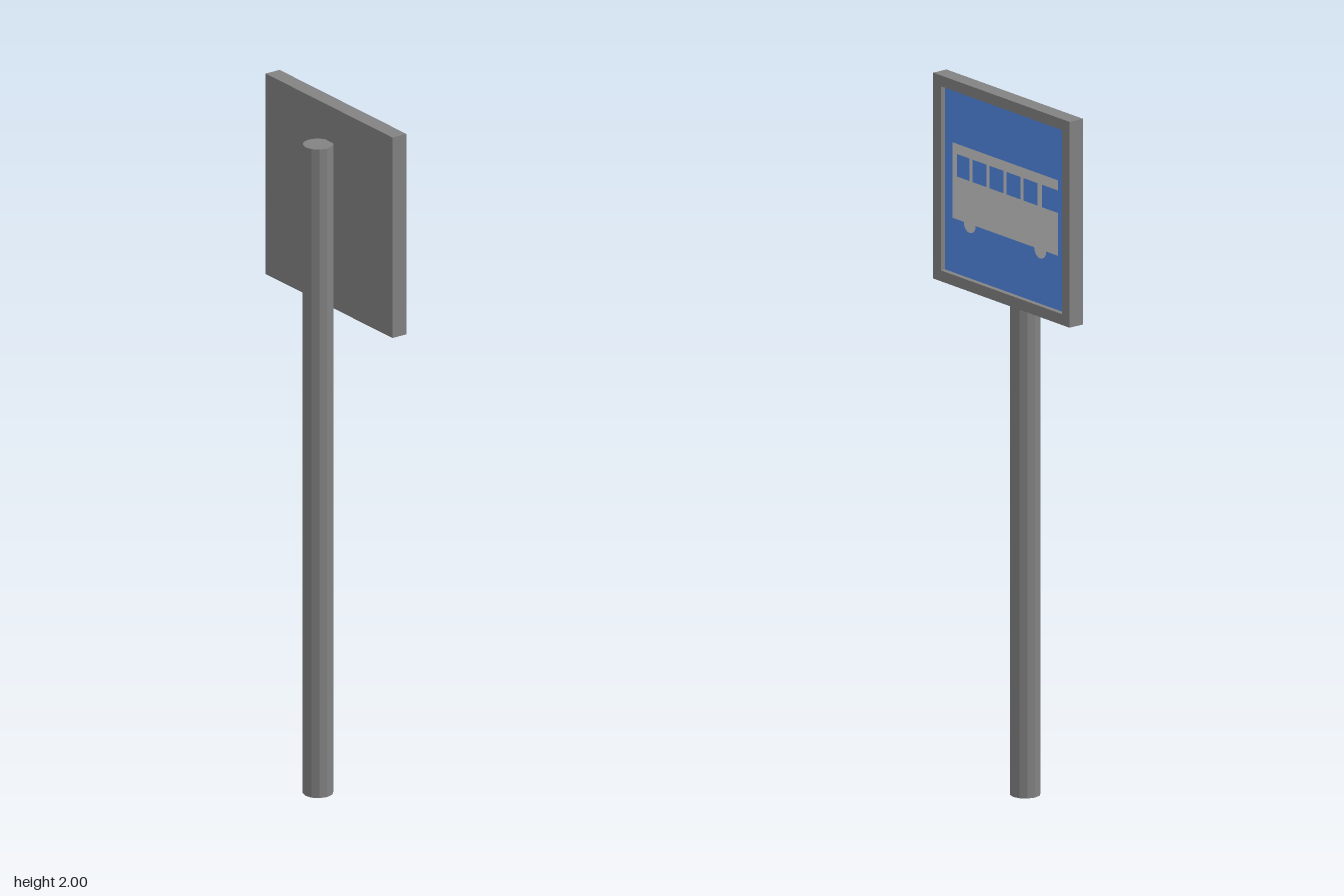
import * as THREE from 'three';

const SIGN_Y = 1.707, OUTER = 0.295, INNER = 0.262;
const BACK = 0.016, FRONT = 0.063, PANEL = 0.048;

const material = (color) => new THREE.MeshStandardMaterial({ color, flatShading: true });

function rect(Type, x0, y0, x1, y1) {
  return new Type([[x0, y0], [x1, y0], [x1, y1], [x0, y1]].map(([x, y]) => new THREE.Vector2(x, y)));
}

export function createModel() {
  const group = new THREE.Group();
  const metal = material(0x828282);
  const blue = material(0x528ae8);
  const pale = material(0xcccccc);

  const add = (parent, name, geometry, mat, x, y, z) => {
    const mesh = new THREE.Mesh(geometry, mat);
    mesh.name = name;
    mesh.position.set(x, y, z);
    parent.add(mesh);
    return mesh;
  };

  // Twelve-sided pole behind the sign
  add(group, 'pole', new THREE.CylinderGeometry(0.042, 0.042, 1.896, 12), metal, -0.021, 0.948, 0);

  // Sign is drawn facing +z, then turned to face +x
  const sign = new THREE.Group();
  sign.name = 'sign';
  sign.rotation.y = Math.PI / 2;
  sign.position.y = SIGN_Y;
  group.add(sign);

  // Raised square frame
  const frame = rect(THREE.Shape, -OUTER, -0.293, OUTER, 0.293);
  frame.holes.push(rect(THREE.Path, -INNER, -INNER, INNER, INNER));
  add(sign, 'signFrame', new THREE.ExtrudeGeometry(frame, { depth: FRONT - BACK, bevelEnabled: false }), metal, 0, 0, BACK);

  // Back cover and recessed blue face
  const plane = new THREE.PlaneGeometry(INNER * 2, INNER * 2);
  add(sign, 'signBack', plane, metal, 0, 0, BACK).rotation.y = Math.PI;
  add(sign, 'signPanel', plane, blue, 0, 0, PANEL);

  // Bus silhouette: open notch at the windscreen, five side windows
  const sill = 0.015, head = 0.079;
  const bus = new THREE.Shape([
    [-0.228, -0.107], [0.228, -0.107], [0.228, sill], [0.159, sill],
    [0.159, head], [0.228, head], [0.228, 0.108], [-0.228, 0.108],
  ].map(([x, y]) => new THREE.Vector2(x, y)));
  for (let i = 0; i < 5; i++) {
    const left = -0.209 + i * 0.0735;
    const start = i === 0 ? left : left - 0.006;
    bus.holes.push(rect(THREE.Path, start, sill, left + 0.0545, head));
  }
  add(sign, 'busSymbol', new THREE.ShapeGeometry(bus), pale, 0, 0, PANEL + 0.001);

  // Half-round wheels under the bus
  for (const x of [-0.154, 0.151]) {
    add(sign, 'busWheel', new THREE.CircleGeometry(0.026, 8, Math.PI, Math.PI), pale, x, -0.107, PANEL + 0.001);
  }

  return group;
}
